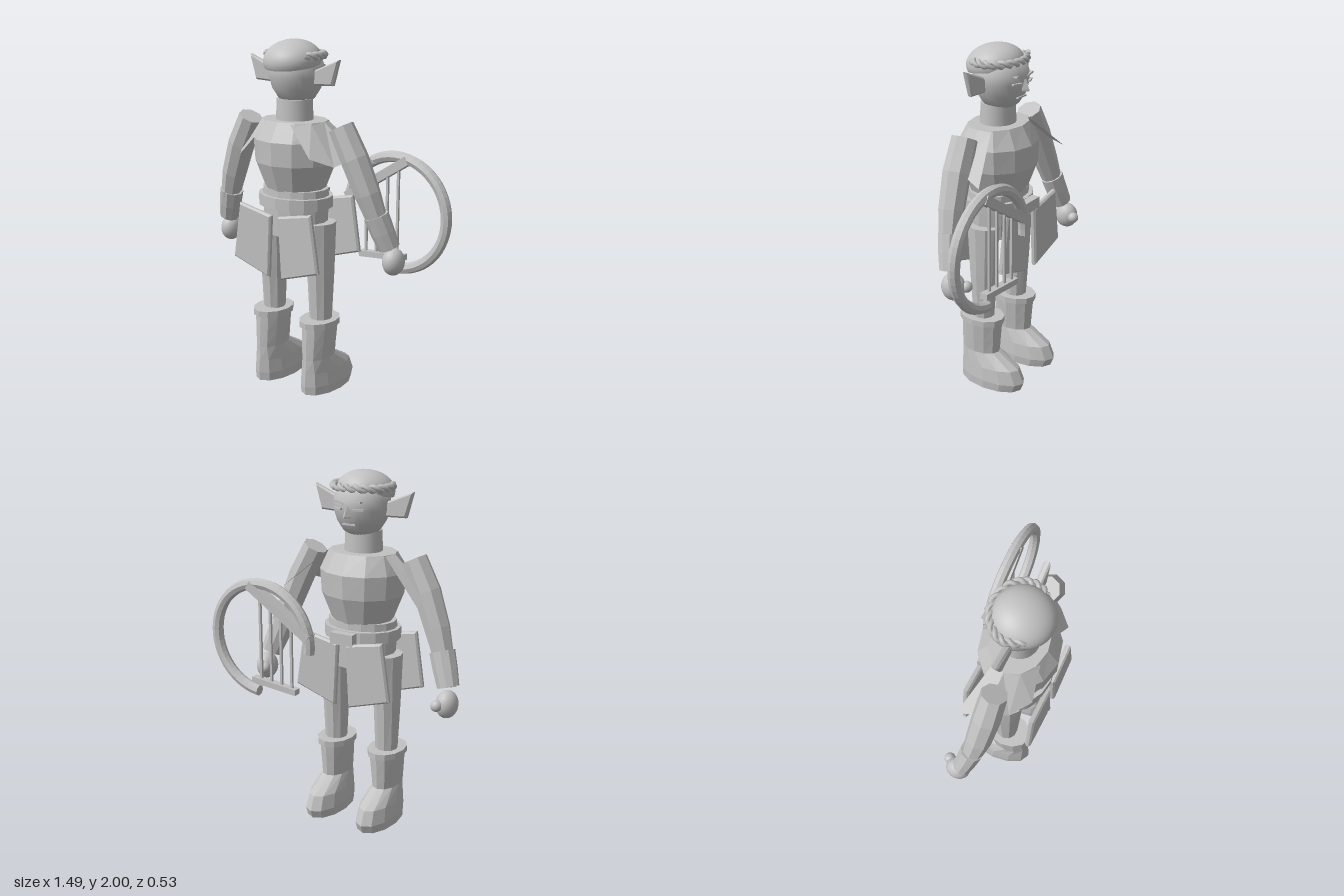
import * as THREE from 'three';

const grey = new THREE.MeshStandardMaterial({ color: 0xc2c2c2, side: THREE.DoubleSide });
grey.name = 'stone grey';

const flat = (g) => {
  const f = g.index ? g.toNonIndexed() : g;
  f.computeVertexNormals();
  return f;
};

// Closed faceted loft; each section is [x, y, z, radiusX, radiusZ].
// Upright rings stay level, otherwise they turn with the path.
function loft(sections, sides, upright = true) {
  const pos = [];
  const centres = sections.map((s) => new THREE.Vector3(s[0], s[1], s[2]));
  const rings = sections.map((s, i) => {
    const dir = upright
      ? new THREE.Vector3(0, 1, 0)
      : centres[Math.min(i + 1, centres.length - 1)].clone().sub(centres[Math.max(i - 1, 0)]).normalize();
    const u = dir.clone().cross(new THREE.Vector3(0, 0, 1)).normalize();
    const v = u.clone().cross(dir);
    return Array.from({ length: sides }, (_, j) => {
      const a = (j / sides) * Math.PI * 2;
      return centres[i].clone()
        .addScaledVector(u, Math.cos(a) * s[3])
        .addScaledVector(v, Math.sin(a) * (s[4] ?? s[3]));
    });
  });
  const tri = (...p) => p.forEach((q) => pos.push(q.x, q.y, q.z));
  const last = rings.length - 1;
  for (let j = 0; j < sides; j++) {
    const k = (j + 1) % sides;
    for (let i = 0; i < last; i++) {
      tri(rings[i][j], rings[i + 1][j], rings[i][k]);
      tri(rings[i][k], rings[i + 1][j], rings[i + 1][k]);
    }
    tri(centres[0], rings[0][j], rings[0][k]);
    tri(centres[last], rings[last][k], rings[last][j]);
  }
  const g = new THREE.BufferGeometry();
  g.setAttribute('position', new THREE.Float32BufferAttribute(pos, 3));
  g.computeVertexNormals();
  return g;
}

// Plate with chamfered edges cut from an outline in x and y
function plate(points, depth, z) {
  const b = 0.01;
  const g = new THREE.ExtrudeGeometry(new THREE.Shape(points.map((p) => new THREE.Vector2(...p))), {
    depth: depth - 2 * b, bevelThickness: b, bevelSize: b, bevelOffset: -b, bevelSegments: 1,
  });
  return g.translate(0, 0, z + b);
}

// Box bar between two points in the x-y plane
function bar(x1, y1, x2, y2, width, depth, z) {
  const g = new THREE.BoxGeometry(Math.hypot(x2 - x1, y2 - y1), width, depth);
  return g.rotateZ(Math.atan2(y2 - y1, x2 - x1)).translate((x1 + x2) / 2, (y1 + y2) / 2, z);
}

const ball = (x, y, z, rx, ry, rz) =>
  new THREE.SphereGeometry(1, 20, 14).scale(rx, ry, rz).translate(x, y, z);

export function createModel() {
  const model = new THREE.Group();
  const figure = new THREE.Group();
  figure.name = 'figure';
  figure.position.x = -0.098;
  model.add(figure);
  const add = (name, geometry, parent = figure) => {
    const m = new THREE.Mesh(geometry, grey);
    m.name = name;
    parent.add(m);
    return m;
  };

  // Head, hair cap and neck
  const profile = [[0, 1.65], [0.06, 1.655], [0.1, 1.68], [0.135, 1.735], [0.154, 1.8], [0.155, 1.85], [0.13, 1.92], [0, 1.97]];
  add('head', new THREE.LatheGeometry(profile.map((p) => new THREE.Vector2(...p)), 28).translate(0, 0, 0.035));
  const cap = new THREE.Group();
  cap.name = 'hairCap';
  cap.position.set(0, 1.89, 0.072);
  cap.rotation.x = 0.15;
  figure.add(cap);
  add('hair', new THREE.SphereGeometry(1, 32, 12, 0, Math.PI * 2, 0, Math.PI * 0.58).scale(0.16, 0.11, 0.162), cap);
  add('hairUnderside', new THREE.CircleGeometry(0.968, 32).rotateX(Math.PI / 2).scale(0.16, 1, 0.162).translate(0, -0.027, 0), cap);
  add('neck', new THREE.CylinderGeometry(0.103, 0.108, 0.13, 24).scale(1, 1, 0.92).translate(0, 1.615, 0.055));

  // Wreath of two twisted strands, open at the back of the head
  for (const phase of [0, Math.PI]) {
    const pts = Array.from({ length: 121 }, (_, i) => {
      const t = i / 120, a = (t - 0.5) * 4.5, w = t * Math.PI * 14 + phase;
      const r = Math.cos(w) * 0.012;
      return new THREE.Vector3(Math.sin(a) * (0.163 + r), 1.918 + Math.sin(w) * 0.012, 0.045 - Math.cos(a) * (0.135 + r));
    });
    add('wreathStrand', new THREE.TubeGeometry(new THREE.CatmullRomCurve3(pts), 220, 0.013, 6));
  }

  // Face
  add('nose', loft([[0, 1.765, -0.118, 0.024, 0.028], [0, 1.775, -0.118, 0.024, 0.028], [0, 1.825, -0.115, 0.012, 0.012]], 4));
  add('mouth', new THREE.BoxGeometry(0.08, 0.009, 0.02).translate(0, 1.728, -0.093));

  // Torso, waist, belt and hips
  const c = 0.05;
  add('torso', loft([
    [0, 1.18, c, 0.175, 0.16], [0, 1.33, c, 0.235, 0.213], [0, 1.46, c, 0.245, 0.217], [0, 1.565, c, 0.2, 0.155],
  ], 12));
  add('waist', loft([[0, 1.13, c, 0.205, 0.16], [0, 1.185, c, 0.2, 0.158]], 16));
  add('belt', loft([[0, 1.08, c, 0.225, 0.185], [0, 1.145, c, 0.225, 0.185]], 16));
  add('hips', loft([[0, 0.92, c, 0.195, 0.155], [0, 1.09, c, 0.2, 0.16]], 16));
  add('buckle', new THREE.BoxGeometry(0.14, 0.065, 0.05).translate(0, 1.11, -0.155));

  for (const s of [-1, 1]) {
    // Ears and eyes
    add('ear', plate([[s * 0.14, 1.84], [s * 0.305, 1.905], [s * 0.265, 1.765], [s * 0.14, 1.76]], 0.038, 0.036));
    add('eye', new THREE.BoxGeometry(0.06, 0.01, 0.02).rotateY(s * -0.4).translate(s * 0.062, 1.81, -0.108));
    add('brow', bar(s * 0.025, 1.84, s * 0.08, 1.852, 0.009, 0.025, -0.108));

    // Skirt panels, two on each side of the body
    const outline = [[0.25, 1.09], [0.023, 1.045], [0.043, 0.685], [0.3, 0.765]].map(([x, y]) => [s * x, y]);
    add('skirtPanel', plate(outline, 0.035, 0.215));
    add('skirtPanel', plate(outline.map(([x, y]) => [x, y + 0.035]), 0.035, -0.18));

    // Shoulder flap fanning out from the collar
    const top = [[0.08, 1.56, 0.2], [0.17, 1.565, 0.13], [0.2, 1.565, 0.05], [0.18, 1.56, -0.02]];
    const low = [[0.23, 1.39, 0.225], [0.33, 1.345, 0.14], [0.4, 1.39, 0.03], [0.43, 1.335, -0.115]];
    const strip = [];
    for (let i = 0; i < 3; i++) {
      for (const p of [top[i], low[i], top[i + 1], top[i + 1], low[i], low[i + 1]]) strip.push(s * p[0], p[1], p[2]);
    }
    const flap = new THREE.BufferGeometry();
    flap.setAttribute('position', new THREE.Float32BufferAttribute(strip, 3));
    flap.computeVertexNormals();
    add('shoulderFlap', flap);

    // Arm, wrist cuff and hand
    add('arm', loft([
      [s * 0.315, 1.55, 0.055, 0.072], [s * 0.4, 1.385, 0.047, 0.078], [s * 0.475, 1.2, 0.03, 0.072],
      [s * 0.525, 1.06, 0.01, 0.058], [s * 0.575, 0.9, -0.03, 0.05],
    ], 8, false));
    add('wristCuff', loft([
      [s * 0.518, 1.085, 0.01, 0.072, 0.066], [s * 0.55, 0.99, -0.01, 0.069, 0.062], [s * 0.58, 0.905, -0.03, 0.062, 0.055],
    ], 10, false));
    add('hand', ball(s * 0.59, 0.82, -0.06, 0.06, 0.077, 0.07));
    add('thumb', ball(s * 0.56, 0.825, -0.125, 0.032, 0.032, 0.032));

    // Leg and boot
    const x = s * 0.17;
    add('leg', loft([[x, 0.4, 0.04, 0.063, 0.062], [x, 0.7, 0.04, 0.074, 0.082], [x, 1.0, 0.04, 0.08, 0.098]], 10));
    const foot = [
      [0, 0.103, 0.185, -0.22], [0.05, 0.105, 0.19, -0.24], [0.13, 0.095, 0.186, -0.205],
      [0.21, 0.077, 0.18, -0.065], [0.3, 0.085, 0.178, -0.07], [0.4, 0.093, 0.175, -0.077],
    ];
    add('boot', loft(foot.map(([y, w, back, front]) => [x, y, (back + front) / 2, w, (back - front) / 2]), 12));
    add('bootCuff', loft([[x, 0.4, 0.05, 0.104, 0.14], [x, 0.435, 0.05, 0.104, 0.14]], 12));
  }

  // Lyre: open ring, crossbar, foot bar and strings
  const lyre = new THREE.Group();
  lyre.name = 'lyre';
  model.add(lyre);
  const z = -0.232, start = -1.48;
  const ring = new THREE.TorusGeometry(0.32, 0.032, 8, 40, Math.PI + 0.1 - start);
  add('lyreRing', flat(ring.rotateZ(start).translate(0.395, 1.045, z)), lyre);
  for (const a of [start, Math.PI + 0.1]) {
    const end = new THREE.CircleGeometry(0.032, 8).rotateX(Math.PI / 2);
    add('lyreRingEnd', end.translate(0.32, 0, 0).rotateZ(a).translate(0.395, 1.045, z), lyre);
  }
  add('lyreCrossbar', bar(0.07, 1.1, 0.47, 1.355, 0.05, 0.066, z), lyre);
  add('lyreFootBar', bar(0.16, 0.77, 0.46, 0.795, 0.034, 0.045, z), lyre);
  for (let i = 0; i < 4; i++) {
    const x = 0.195 + i * 0.07;
    add('lyreString', bar(x, 0.78, x, 1.18 + (x - 0.195) * 0.64, 0.014, 0.014, z), lyre);
  }
  return model;
}
